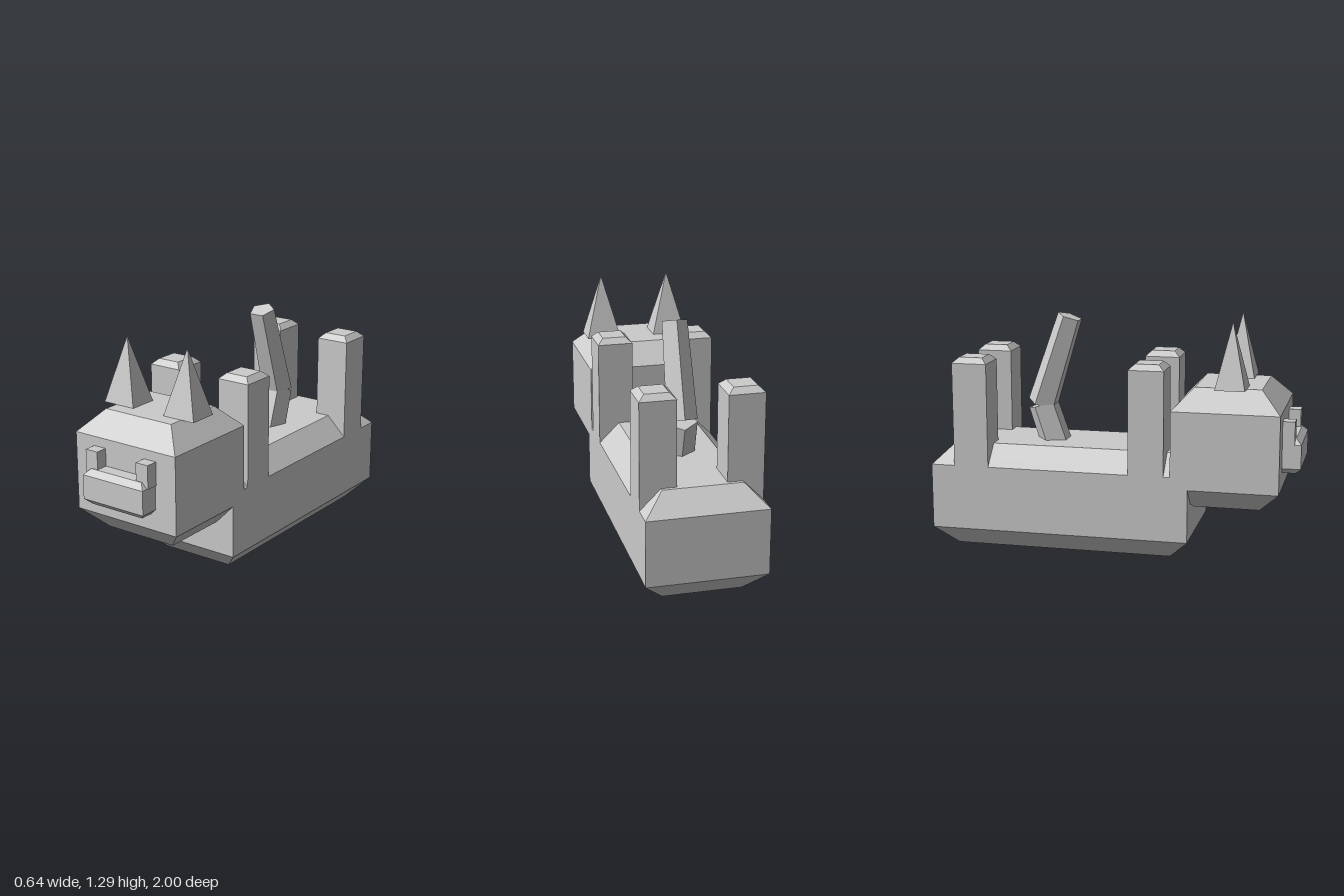
import * as THREE from 'three';

const material = new THREE.MeshStandardMaterial({ color: 0xcccccc, flatShading: true });

function add(parent, name, geometry) {
  const mesh = new THREE.Mesh(geometry, material);
  mesh.name = name;
  parent.add(mesh);
  return mesh;
}

// Box whose top and bottom ends slope inwards; each range is [min, max]
function bevelBox([x0, x1], [y0, y1], [z0, z1], lower, upper, inset) {
  const geometry = new THREE.BoxGeometry(1, 1, 1, 1, 3, 1);
  const p = geometry.attributes.position;
  const rows = [y0, y0 + lower, y1 - upper, y1];
  for (let i = 0; i < p.count; i++) {
    const row = Math.round((p.getY(i) + 0.5) * 3);
    const d = (row === 0 && lower > 0) || (row === 3 && upper > 0) ? inset : 0;
    p.setXYZ(i,
      p.getX(i) < 0 ? x0 + d : x1 - d,
      rows[row],
      p.getZ(i) < 0 ? z0 + d : z1 - d);
  }
  geometry.computeVertexNormals();
  return geometry;
}

// Five-sided tail piece between two [y, z] points, ridge facing back
function tailPiece(parent, name, [ya, za], [yb, zb], ra, rb) {
  const length = Math.hypot(yb - ya, zb - za);
  const mesh = add(parent, name, new THREE.CylinderGeometry(rb, ra, length, 5).rotateY(Math.PI));
  mesh.rotation.x = Math.atan2(zb - za, yb - ya);
  mesh.position.set(0, (ya + yb) / 2, (za + zb) / 2);
}

export function createModel() {
  const model = new THREE.Group();
  model.name = 'animal';

  add(model, 'body', bevelBox([-0.32, 0.32], [0, 0.58], [-1, 0.42], 0.115, 0.11, 0.11));

  // Head with muzzle
  const head = new THREE.Group();
  head.name = 'head';
  model.add(head);
  add(head, 'skull', bevelBox([-0.32, 0.32], [0.29, 0.94], [0.325, 0.9], 0.115, 0.115, 0.11));
  add(head, 'muzzle', bevelBox([-0.193, 0.193], [0.49, 0.68], [0.8, 1], 0.03, 0.03, 0.03));

  for (const [side, s] of [['left', 1], ['right', -1]]) {
    // Ears
    const ear = add(head, side + 'Ear', new THREE.ConeGeometry(Math.SQRT2 / 2, 0.35, 4).rotateY(Math.PI / 4));
    ear.scale.set(0.19, 1, 0.16);
    ear.position.set(s * 0.193, 1.115, 0.63);

    // Nostrils
    const nostril = add(head, side + 'Nostril', new THREE.BoxGeometry(0.075, 0.125, 0.115));
    nostril.position.set(s * 0.162, 0.7125, 0.9075);

    // Legs
    const xs = s > 0 ? [0.13, 0.32] : [-0.32, -0.13];
    add(model, side + 'FrontLeg', bevelBox(xs, [0.44, 1.065], [0.098, 0.29], 0, 0.03, 0.032));
    add(model, side + 'BackLeg', bevelBox(xs, [0.44, 1.065], [-0.87, -0.678], 0, 0.03, 0.032));
  }

  // Bent tail
  tailPiece(model, 'tailBase', [0.53, -0.37], [0.772, -0.452], 0.091, 0.087);
  tailPiece(model, 'tailTip', [0.772, -0.452], [1.263, -0.294], 0.087, 0.071);

  return model;
}
